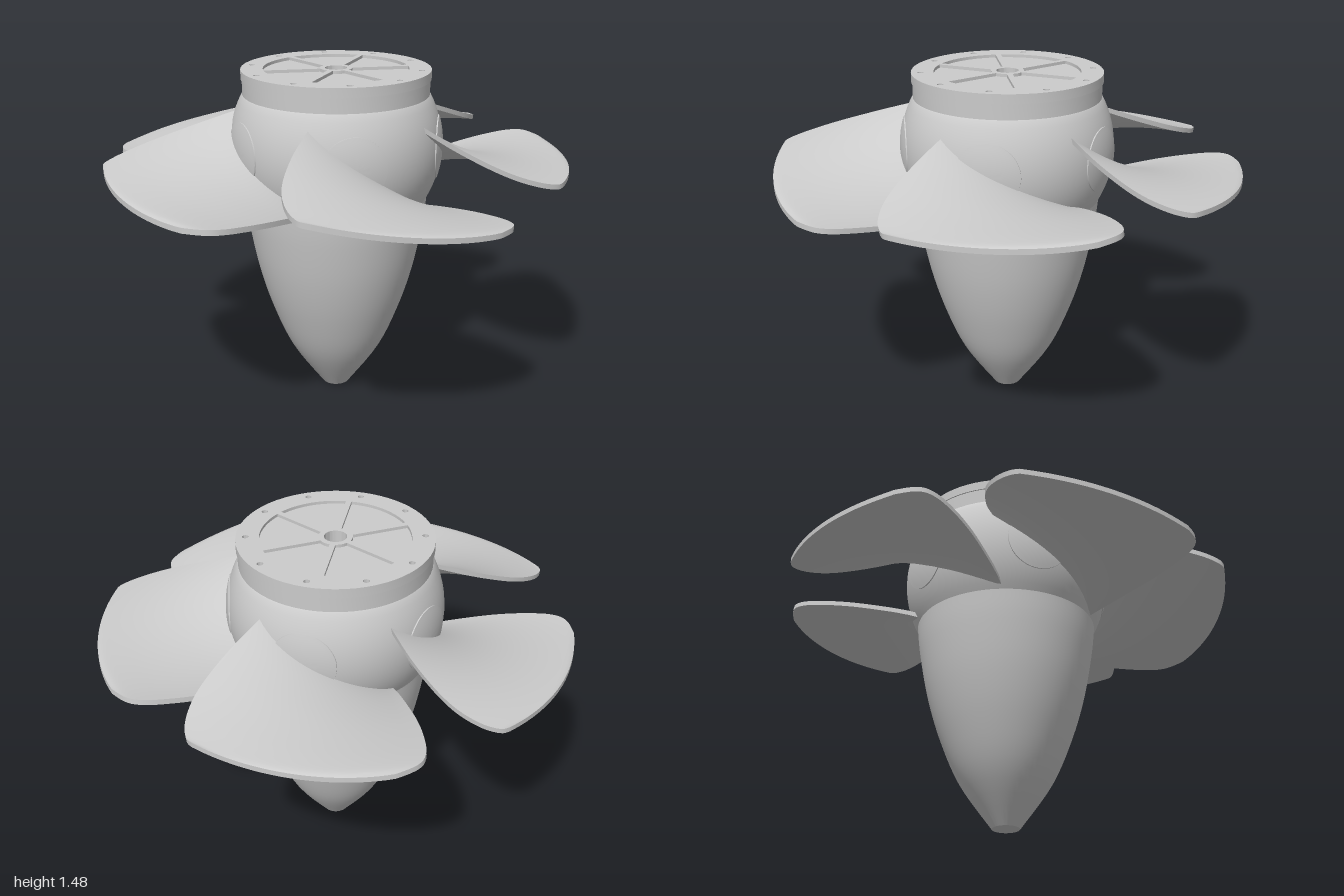
import * as THREE from 'three';
import { toCreasedNormals } from 'three/addons/utils/BufferGeometryUtils.js';

const material = new THREE.MeshStandardMaterial({ color: 0xcccccc });
const rad = THREE.MathUtils.degToRad;
const lerp = THREE.MathUtils.lerp;
const HUB_Y = 1.15, HUB_R = 0.458;
const FIRST_BLADE = 35;          // angle of the first blade, degrees
const PIVOT = 8;                 // trunnion axis ahead of the blade centre, degrees
const PITCH = [8, 0, 4, 6, 6];   // each blade is feathered a little differently

function addMesh(parent, name, geometry) {
  const mesh = new THREE.Mesh(geometry, material);
  mesh.name = name;
  parent.add(mesh);
  return mesh;
}

function lathe(points, segments = 64) {
  const profile = points.map(([r, y]) => new THREE.Vector2(r, y));
  return toCreasedNormals(new THREE.LatheGeometry(profile, segments), 0.5);
}

// Nose cone: a smooth bullet narrowing to a small flat end
function noseCone() {
  const curve = new THREE.SplineCurve([[0.06, 0], [0.2, 0.2], [0.287, 0.4], [0.347, 0.6],
    [0.385, 0.8], [0.4, 0.93]].map(([r, y]) => new THREE.Vector2(r, y)));
  return lathe([[0, 0], ...curve.getPoints(24).map(p => [p.x, p.y]), [0.3, 0.93]]);
}

// Spherical hub with a cylindrical neck, raised pocket floor and open bore
function hubBody() {
  const points = [[0.3, 0.925]];
  for (let i = 0; i <= 16; i++) {
    const y = lerp(0.926, 1.365, i / 16);
    points.push([Math.sqrt(HUB_R ** 2 - (y - HUB_Y) ** 2), y]);
  }
  points.push([0.4, 1.37], [0.4, 1.445], [0.33, 1.445], [0.33, 1.462], [0.047, 1.462], [0.047, 1.2], [0, 1.2]);
  return lathe(points);
}

// Top flange with six shallow sector pockets between spokes, a bore and bolt holes
function flangePlate() {
  const circle = (Type, x, y, r) => new Type().absarc(x, y, r, 0, Math.PI * 2);
  const shape = circle(THREE.Shape, 0, 0, 0.405);
  shape.holes.push(circle(THREE.Path, 0, 0, 0.047));
  for (let i = 0; i < 10; i++) {
    const a = rad(8 + 36 * i);
    shape.holes.push(circle(THREE.Path, 0.365 * Math.cos(a), 0.365 * Math.sin(a), 0.013));
  }
  const inner = 0.07, outer = 0.31, halfSpoke = 0.012;
  for (let i = 0; i < 6; i++) {
    const from = rad(25 + 60 * i), to = from + rad(60);
    const di = Math.asin(halfSpoke / inner), d = Math.asin(halfSpoke / outer);
    const pocket = new THREE.Path();
    pocket.absarc(0, 0, outer, from + d, to - d, false);
    pocket.absarc(0, 0, inner, to - di, from + di, true);
    pocket.closePath();
    shape.holes.push(pocket);
  }
  const geometry = new THREE.ExtrudeGeometry(shape, { depth: 0.04, bevelEnabled: false, curveSegments: 32 });
  geometry.rotateX(Math.PI / 2);
  return toCreasedNormals(geometry, 0.5);
}

// Trunnion disc: a slightly raised spherical cap pointing along +x
function trunnion() {
  const R = HUB_R + 0.004, half = Math.asin(0.135 / R), points = [[0.135, 0.4]];
  for (let i = 0; i <= 8; i++) {
    const a = half * (1 - i / 8);
    points.push([R * Math.sin(a), R * Math.cos(a)]);
  }
  return lathe(points, 40).rotateZ(-Math.PI / 2);
}

// Twisted blade along +x: edges given as (radius, angle in degrees),
// lofted from closed cross-sections, then moved so its pivot axis is the x axis
function blade() {
  const radii = [0.38, 0.55, 0.7, 0.82, 0.92];
  const edge = (angles, ...tip) => new THREE.SplineCurve(
    angles.map((a, i) => new THREE.Vector2([...radii, ...tip][i], a)));
  const highEdge = edge([32, 33.5, 33, 31.5, 28.7, 25.7, 23.5], 0.98, 0.995);
  const lowEdge = edge([-41, -36.5, -33.5, -31, -28.5, -25.5, -20], 0.975, 1.0);
  const rows = 30, n = 25, ring = 2 * n, positions = [], index = [];
  for (let j = 0; j <= rows; j++) {
    const t = j / rows, hi = highEdge.getPoint(t), lo = lowEdge.getPoint(t);
    for (let k = 0; k < ring; k++) {
      const top = k < n, w = (top ? k : ring - 1 - k) / (n - 1);
      const r = lerp(lo.x, hi.x, w), a = rad(lerp(lo.y, hi.y, w));
      const out = (r - 0.38) / 0.62;
      const y = lerp(lerp(0.92, 1.01, out ** 0.8), lerp(1.31, 1.115, out), w ** 1.3);
      const halfThick = 0.011 + 0.012 * (1 - (2 * w - 1) ** 2) * (1 - t);
      positions.push(r * Math.cos(a), y + (top ? halfThick : -halfThick), r * Math.sin(a));
      if (j < rows) {
        const p = j * ring + k, q = j * ring + (k + 1) % ring;
        index.push(p, q, p + ring, q, q + ring, p + ring);
      }
    }
  }
  // Close the outer tip
  const last = rows * ring;
  for (let i = 0; i < n - 1; i++) {
    const t0 = last + i, b0 = last + ring - 1 - i;
    index.push(t0, t0 + 1, b0, t0 + 1, b0 - 1, b0);
  }
  const geometry = new THREE.BufferGeometry();
  geometry.setAttribute('position', new THREE.Float32BufferAttribute(positions, 3));
  geometry.setIndex(index);
  geometry.translate(0, -HUB_Y, 0).rotateY(rad(PIVOT));
  return toCreasedNormals(geometry, 0.7);
}

export function createModel() {
  const model = new THREE.Group();
  model.name = 'turbineRunner';
  addMesh(model, 'noseCone', noseCone());
  addMesh(model, 'hub', hubBody());
  addMesh(model, 'topFlange', flangePlate()).position.y = 1.475;

  const bladeGeometry = blade(), trunnionGeometry = trunnion();
  PITCH.forEach((pitch, i) => {
    const unit = new THREE.Group();
    unit.name = 'bladeUnit' + (i + 1);
    unit.position.y = HUB_Y;
    unit.rotation.set(rad(pitch), -rad(FIRST_BLADE + PIVOT + 72 * i), 0, 'YXZ');
    addMesh(unit, 'blade', bladeGeometry);
    addMesh(unit, 'trunnionDisc', trunnionGeometry);
    model.add(unit);
  });
  return model;
}
